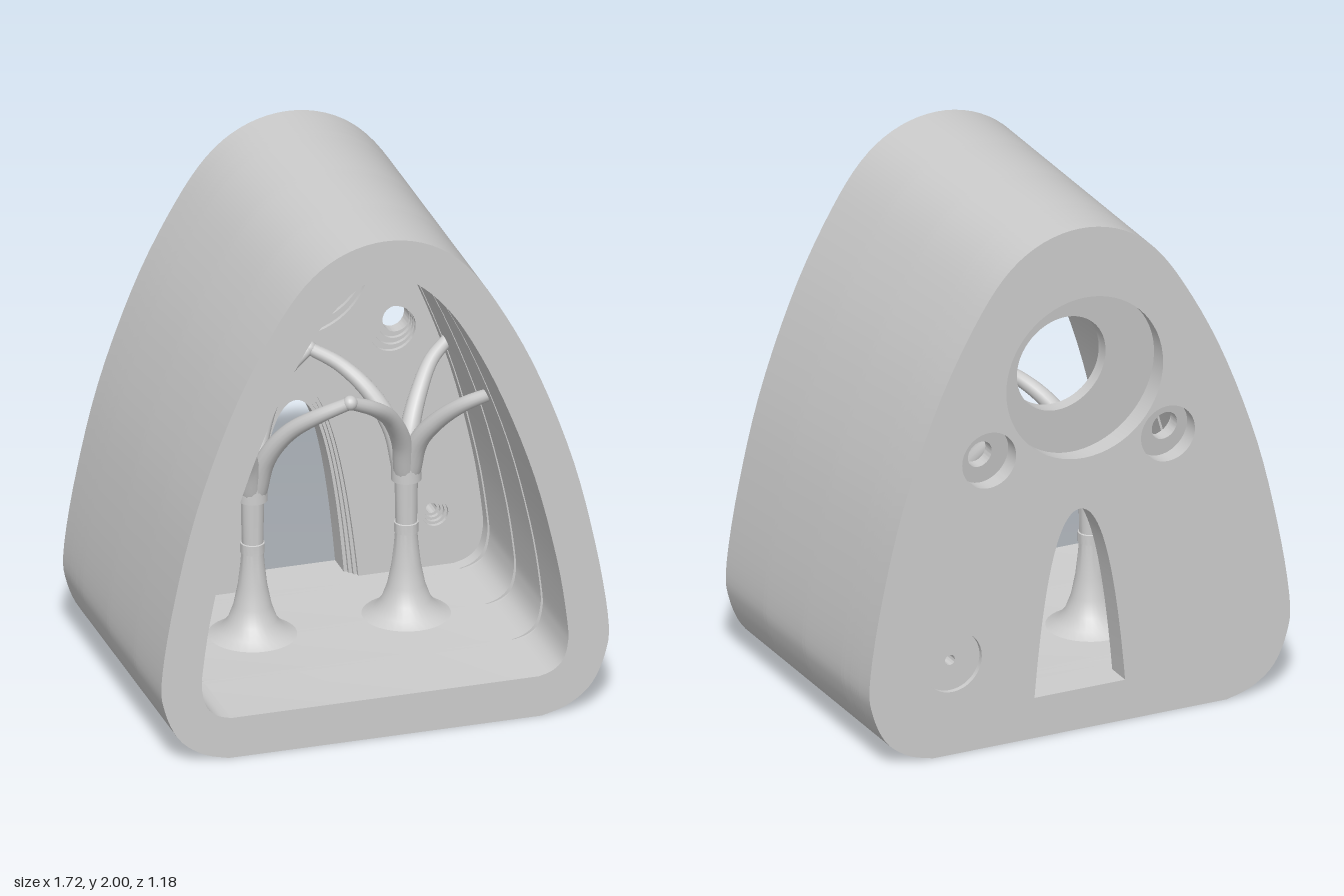
import * as THREE from 'three';
import { toCreasedNormals } from 'three/addons/utils/BufferGeometryUtils.js';

const BACK = -0.59, FRONT = 0.59, POCKET = -0.5, ROOM = -0.435;
const stone = new THREE.MeshStandardMaterial({ color: 0xcccccc });
stone.name = 'stone grey';

// Smooth symmetric outline from half-profile points that end at the apex
function outline(half) {
  const pts = half.map(([x, y]) => new THREE.Vector2(x, y));
  const mirror = half.slice(0, -1).reverse().map(([x, y]) => new THREE.Vector2(-x, y));
  return new THREE.SplineCurve([...pts, ...mirror]).getPoints(96);
}
const outer = outline([[0.6, 0], [0.7, 0.03], [0.79, 0.1], [0.845, 0.22], [0.857, 0.35], [0.81, 0.65],
  [0.72, 1.02], [0.58, 1.4], [0.43, 1.69], [0.3, 1.87], [0.16, 1.967], [0, 2]]);
const inner = outline([[0.59, 0.16], [0.64, 0.175], [0.68, 0.21], [0.7, 0.27], [0.7, 0.36], [0.66, 0.62],
  [0.57, 0.98], [0.44, 1.33], [0.31, 1.59], [0.2, 1.74], [0.09, 1.83], [0, 1.85]]);
const grooved = inner.map(p => new THREE.Vector2(p.x * 1.025, 0.16 + (p.y - 0.16) * 1.01));

const circle = (x, y, r) => new THREE.Path().absarc(x, y, r, 0, Math.PI * 2, true);

// Pointed, rounded doorway
function doorway(w, top) {
  const p = new THREE.Path();
  p.moveTo(w, 0.16);
  p.bezierCurveTo(w * 0.75, 0.7, w * 0.4, top, 0, top);
  p.bezierCurveTo(-w * 0.4, top, -w * 0.75, 0.7, -w, 0.16);
  p.closePath();
  return p;
}

function slab(points, holes, z0, z1) {
  const shape = new THREE.Shape(points);
  shape.holes.push(...holes);
  const geo = new THREE.ExtrudeGeometry(shape, { depth: z1 - z0, bevelEnabled: false, curveSegments: 32 });
  return geo.translate(0, 0, z0);
}

function add(parent, name, geo, crease = true) {
  const mesh = new THREE.Mesh(crease ? toCreasedNormals(geo, 0.5) : geo, stone);
  mesh.name = name;
  parent.add(mesh);
  return mesh;
}

// Openings: through hole, its widened room-side rim, and the pocket on the outside
const openings = [
  { name: 'largeWindow', hole: [0.06, 1.46, 0.19], rim: [0, 1.43, 0.27], pocket: [-0.02, 1.4, 0.32], depth: [0.004, 0.085] },
  { name: 'leftPorthole', hole: [0.385, 1.155, 0.052], rim: [0.355, 1.14, 0.09], pocket: [0.37, 1.145, 0.11], depth: [0.03, 0.07] },
  { name: 'rightPorthole', hole: [-0.37, 1.12, 0.055], rim: [-0.37, 1.12, 0.08], pocket: [-0.36, 1.11, 0.11], depth: [0.03, 0.07] },
  { name: 'lowDisc', hole: [0.52, 0.37, 0.02], rim: [0.52, 0.37, 0.05], pocket: [0.52, 0.37, 0.12], depth: [0.02, 0.02] },
];

function backWall() {
  const wall = new THREE.Group();
  wall.name = 'backWall';
  add(wall, 'outerSkin', slab(outer, [doorway(0.185, 0.88), ...openings.map(o => circle(...o.pocket))], BACK, POCKET));

  // Sloping pocket floors
  for (const o of openings) {
    const [cx, cy, r] = o.pocket;
    const rim = new THREE.Path().absarc(cx, cy, r, 0, Math.PI * 2, false).getPoints(32);
    const geo = slab(rim, [circle(...o.hole)], BACK, POCKET);
    const pos = geo.attributes.position;
    for (let i = 0; i < pos.count; i++) {
      if (pos.getZ(i) > BACK + 0.01) continue;
      const t = (1 - ((pos.getX(i) - cx) * 0.75 + (pos.getY(i) - cy) * 0.66) / r) / 2;
      pos.setZ(i, BACK + THREE.MathUtils.lerp(o.depth[0], o.depth[1], t));
    }
    add(wall, o.name + 'Pocket', geo);
  }

  // Stepped reveals that widen towards the room
  const steps = 4, d = (ROOM - POCKET) / steps;
  for (let i = 0; i < steps; i++) {
    const t = i / (steps - 1);
    const holes = openings.map(o => circle(...o.hole.map((v, k) => THREE.MathUtils.lerp(v, o.rim[k], t))));
    holes.push(doorway(0.185 + 0.04 * t, 0.88 + 0.075 * t));
    add(wall, 'reveal' + (i + 1), slab(outer, holes, POCKET + d * i, POCKET + d * (i + 1)));
  }
  return wall;
}

// Vault with three shallow grooves around its inside
function vault() {
  const g = new THREE.Group();
  g.name = 'vault';
  let z = ROOM;
  for (const c of [-0.37, -0.05, 0.27]) {
    add(g, 'vaultBay', slab(outer, [new THREE.Path(inner)], z, c - 0.012));
    add(g, 'vaultGroove', slab(outer, [new THREE.Path(grooved)], c - 0.012, c + 0.012));
    z = c + 0.012;
  }
  add(g, 'vaultBay', slab(outer, [new THREE.Path(inner)], z, FRONT));
  return g;
}

// Tapered round limb along a curve
function limb(points, r0, r1) {
  const curve = new THREE.CatmullRomCurve3(points.map(p => new THREE.Vector3(...p)));
  const n = 20, m = 14;
  const geo = new THREE.TubeGeometry(curve, n, 1, m, false);
  const pos = geo.attributes.position, v = new THREE.Vector3();
  for (let i = 0; i <= n; i++) {
    const c = curve.getPointAt(i / n), r = THREE.MathUtils.lerp(r0, r1, i / n);
    for (let j = 0; j <= m; j++) {
      const k = i * (m + 1) + j;
      v.fromBufferAttribute(pos, k).sub(c).multiplyScalar(r).add(c);
      pos.setXYZ(k, v.x, v.y, v.z);
    }
  }
  return geo;
}

function column(side) {
  const g = new THREE.Group();
  g.name = side > 0 ? 'leftColumn' : 'rightColumn';
  g.position.set(0.295 * side, 0, -0.08);
  // Flared trunk with a ring and a collar
  const profile = [[0.168, 0.158], [0.125, 0.18], [0.092, 0.22], [0.07, 0.28], [0.054, 0.36], [0.045, 0.44], [0.041, 0.49],
    [0.045, 0.492], [0.045, 0.53], [0.04, 0.532], [0.043, 0.7], [0.056, 0.702], [0.054, 0.78], [0.03, 0.81], [0, 0.82]];
  add(g, 'trunk', new THREE.LatheGeometry(profile.map(p => new THREE.Vector2(...p)), 32));
  // Four branches: two to the vault, two to the middle
  for (const s of [1, -1]) {
    const out = [[0.01, 0.74, 0.01], [0.03, 0.87, 0.05], [0.085, 0.98, 0.12], [0.16, 1.07, 0.2], [0.24, 1.12, 0.25]];
    const mid = [[-0.01, 0.74, 0.01], [-0.035, 0.88, 0.05], [-0.1, 1.01, 0.12], [-0.19, 1.1, 0.2], [-0.295, 1.16, 0.25]];
    add(g, 'outerBranch', limb(out.map(([x, y, z]) => [x * side, y, z * s]), 0.042, 0.024), false);
    add(g, 'innerBranch', limb(mid.map(([x, y, z]) => [x * side, y, z * s]), 0.042, 0.024), false);
  }
  return g;
}

export function createModel() {
  const model = new THREE.Group();
  model.name = 'vaultedRoom';
  model.add(vault(), backWall(), column(1), column(-1));
  // Small bosses where the branches meet
  for (const z of [0.17, -0.33]) {
    add(model, 'branchBoss', new THREE.SphereGeometry(0.028, 16, 12), false).position.set(0, 1.16, z);
  }
  return model;
}
